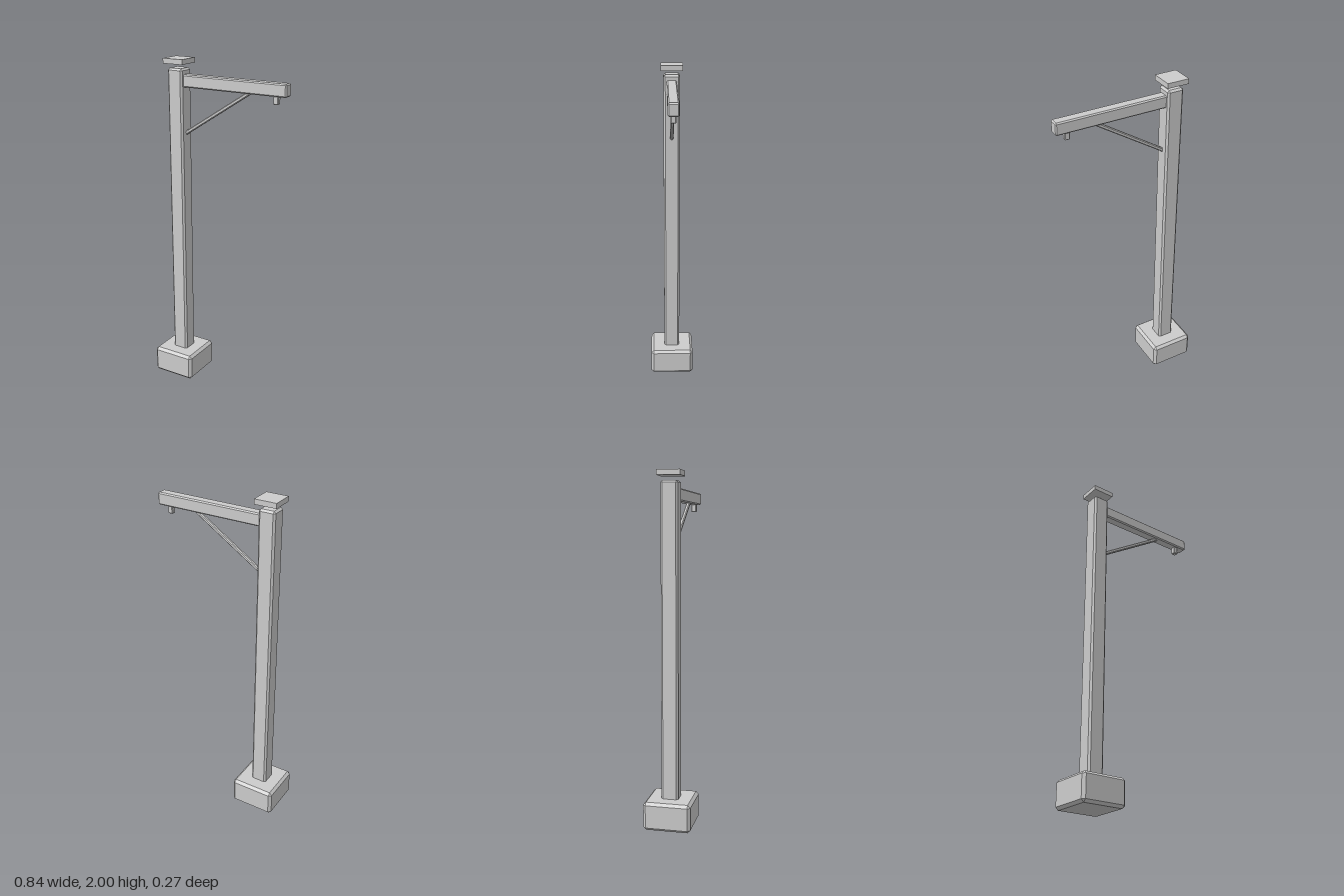
import * as THREE from 'three';
import { ConvexGeometry } from 'three/addons/geometries/ConvexGeometry.js';

// Box with every edge cut by a flat chamfer c
function chamferBox(w, h, d, c) {
  const points = [];
  for (const x of [-1, 1]) for (const y of [-1, 1]) for (const z of [-1, 1]) {
    const corner = new THREE.Vector3(x * w / 2, y * h / 2, z * d / 2);
    const inset = new THREE.Vector3(x * c, y * c, z * c);
    for (const axis of ['x', 'y', 'z']) {
      const p = corner.clone().sub(inset);
      p[axis] = corner[axis];
      points.push(p);
    }
  }
  return new ConvexGeometry(points);
}

export function createModel() {
  const group = new THREE.Group();
  const grey = new THREE.MeshStandardMaterial({ color: 0xcccccc });
  grey.name = 'grey';

  const add = (name, geometry, x, y, z = 0) => {
    const mesh = new THREE.Mesh(geometry, grey);
    mesh.name = name;
    mesh.position.set(x, y, z);
    group.add(mesh);
    return mesh;
  };

  const postX = -0.282;

  // Footing, post and the cap hovering just above it
  add('base', chamferBox(0.272, 0.163, 0.272, 0.016), postX, 0.0815);
  add('post', chamferBox(0.098, 1.845, 0.098, 0.011), postX, 1.0225);
  add('cap', new THREE.BoxGeometry(0.131, 0.029, 0.131), postX, 1.9855);

  // Horizontal arm with a hanging peg near its tip
  add('arm', chamferBox(0.667, 0.072, 0.06, 0.007), 0.0835, 1.876);
  add('peg', chamferBox(0.03, 0.06, 0.03, 0.004), 0.347, 1.825);

  // Diagonal brace from the post up to the arm
  const start = new THREE.Vector2(-0.245, 1.567);
  const end = new THREE.Vector2(0.19, 1.848);
  const along = end.clone().sub(start);
  const brace = add('brace', chamferBox(along.length(), 0.021, 0.021, 0.005),
    (start.x + end.x) / 2, (start.y + end.y) / 2);
  brace.rotation.z = along.angle();

  return group;
}
